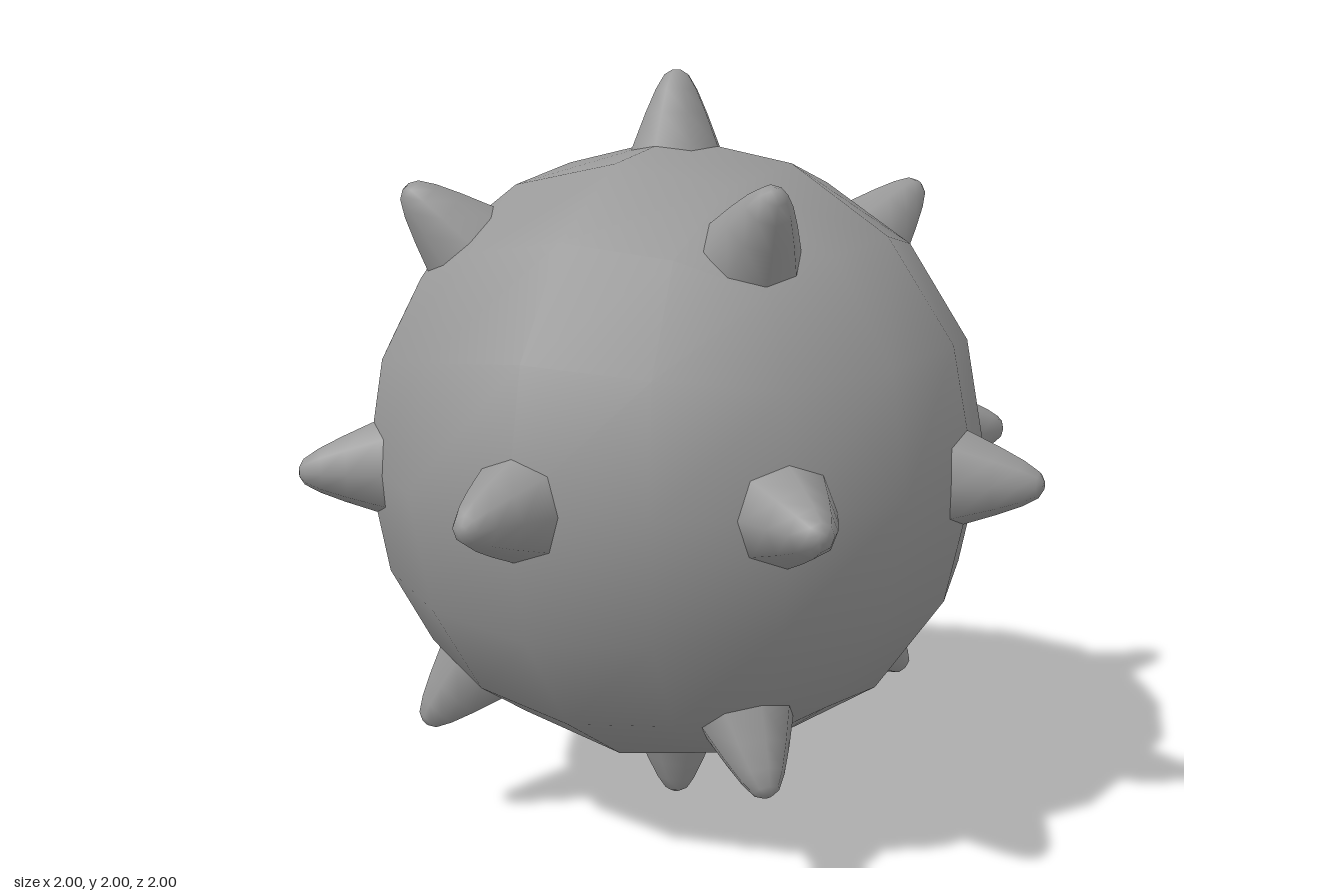
import * as THREE from 'three';

const BALL_RADIUS = 0.83;
const material = new THREE.MeshStandardMaterial({ color: 0x999999 });

// Ball: a 4x4x4 box blown up into a rounded cube-sphere with smooth normals
function makeBall() {
  const geometry = new THREE.BoxGeometry(2, 2, 2, 4, 4, 4);
  const pos = geometry.attributes.position;
  const p = new THREE.Vector3();
  for (let i = 0; i < pos.count; i++) {
    const c = p.fromBufferAttribute(pos, i).toArray();
    // inner grid lines are drawn slightly toward each face's middle
    const onFaceInterior = c.filter(v => Math.abs(v) > 0.9).length === 1;
    const half = onFaceInterior ? 0.428 : 0.5;
    p.fromArray(c.map(v => (Math.abs(Math.abs(v) - 0.5) < 0.1 ? Math.sign(v) * half : v))).normalize();
    geometry.attributes.normal.setXYZ(i, p.x, p.y, p.z);
    p.multiplyScalar(BALL_RADIUS);
    pos.setXYZ(i, p.x, p.y, p.z);
  }
  const ball = new THREE.Mesh(geometry, material);
  ball.name = 'ball';
  return ball;
}

// Spike: eight-sided cone with a blunt rounded tip, radius against distance from the ball's centre
const spikeProfile = [
  [0.138, 0.76], [0.118, 0.81], [0.085, 0.89], [0.057, 0.95], [0.033, 0.988], [0.012, 1], [0, 1],
].map(([r, y]) => new THREE.Vector2(r, y));
const spikeGeometry = new THREE.LatheGeometry(spikeProfile, 8);

function makeSpike(tilt, turn, name) {
  const spike = new THREE.Mesh(spikeGeometry, material);
  spike.rotation.set(tilt, turn, 0, 'YXZ');
  spike.name = name;
  return spike;
}

export function createModel() {
  const model = new THREE.Group();
  model.name = 'spikedBall';
  const body = new THREE.Group();
  body.name = 'body';
  body.position.y = 1;
  model.add(body);
  body.add(makeBall());

  // Poles
  body.add(makeSpike(0, 0, 'topSpike'), makeSpike(Math.PI, 0, 'bottomSpike'));

  // Eight round the middle, four on the diagonals above and below
  for (let i = 0; i < 8; i++) {
    const turn = (i * Math.PI) / 4;
    body.add(makeSpike(Math.PI / 2, turn, 'middleSpike'));
    if (i % 2) {
      body.add(makeSpike(Math.PI / 4, turn, 'upperSpike'));
      body.add(makeSpike((3 * Math.PI) / 4, turn, 'lowerSpike'));
    }
  }
  return model;
}
